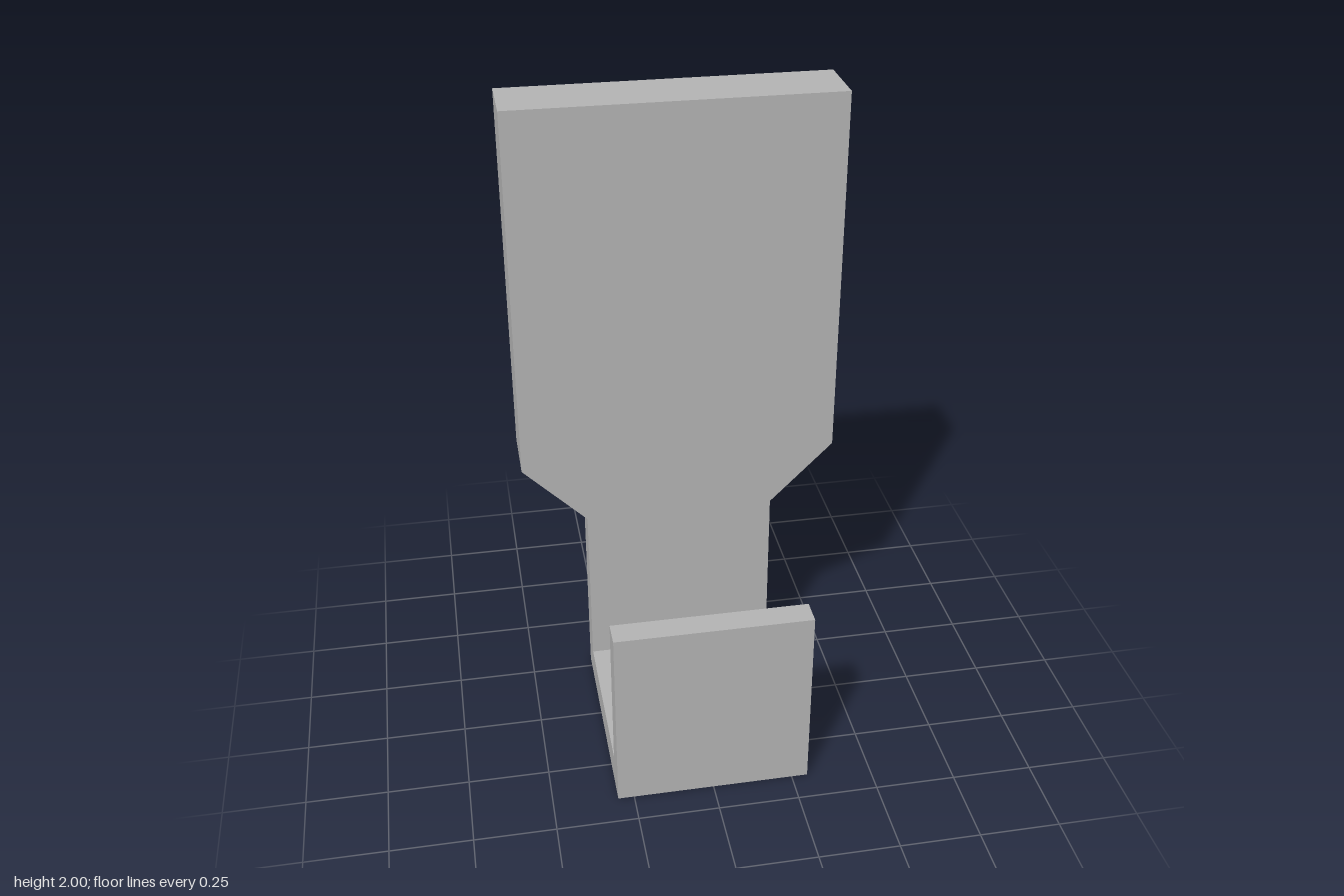
import * as THREE from 'three';

const BACK = -0.405, THICK = 0.205, DEEP = 0.1;

export function createModel() {
  const group = new THREE.Group();
  const grey = new THREE.MeshStandardMaterial({ color: 0xb2b2b2, side: THREE.DoubleSide });

  const add = (name, geometry) => {
    const mesh = new THREE.Mesh(geometry, grey);
    mesh.name = name;
    group.add(mesh);
  };
  const vectors = (points) => points.map(([x, y]) => new THREE.Vector2(x, y));

  // Convex polygons whose corners are [x, y, depth in from the back face]
  const polygons = (list) => {
    const pos = [];
    for (const p of list)
      for (let i = 1; i < p.length - 1; i++)
        for (const [x, y, d] of [p[0], p[i], p[i + 1]]) pos.push(x, y, BACK + d);
    const g = new THREE.BufferGeometry();
    g.setAttribute('position', new THREE.Float32BufferAttribute(pos, 3));
    g.computeVertexNormals();
    return g;
  };
  const mirrored = (list) =>
    [...list, ...list.map((p) => p.map(([x, y, d]) => [-x, y, d]).reverse())];

  // Walls between an outline at one depth and a matching outline further in
  const walls = (a, da, b, db, closed = true) => {
    const quads = [];
    for (let i = 0; i < a.length - (closed ? 0 : 1); i++) {
      const j = (i + 1) % a.length;
      quads.push([[...a[i], da], [...b[i], db], [...b[j], db], [...a[j], da]]);
    }
    return polygons(quads);
  };

  // Flat face turned to the back (all outlines are symmetric in x)
  const backFace = (outline, depth, holes = []) => {
    const s = new THREE.Shape(vectors(outline));
    for (const h of holes) s.holes.push(new THREE.Path(vectors(h)));
    return new THREE.ShapeGeometry(s).rotateY(Math.PI).translate(0, 0, BACK + depth);
  };

  // Side profile of [z, y] points, extruded across x
  const acrossX = (profile, width) =>
    new THREE.ExtrudeGeometry(new THREE.Shape(vectors(profile)), { depth: width, bevelEnabled: false })
      .rotateY(-Math.PI / 2).translate(width / 2, 0, 0);

  // Stepped pocket outline: narrow slot above, wide wings below
  const pocket = (half, top, shoulder, bottom) => [
    [0.162, top], [-0.162, top], [-0.162, shoulder], [-half, shoulder],
    [-half, bottom], [half, bottom], [half, shoulder], [0.162, shoulder],
  ];
  const upperRim = pocket(0.375, 1.778, 1.5, 1.1);
  const upperFloor = pocket(0.275, 1.778, 1.6, 1.2);
  const lowerRim = pocket(0.375, 1.063, 0.785, 0.755);
  const lowerFloor = pocket(0.275, 1.063, 0.885, 0.655);

  // Back of the plate, with the lower pocket notched out of its bottom edge
  const notch = [4, 3, 2, 1, 0, 7, 6, 5].map((i) => lowerRim[i]);
  add('plateBack', backFace([
    [0.5, 2], [-0.5, 2], [-0.5, 0.84], [-0.415, 0.755], ...notch, [0.415, 0.755], [0.5, 0.84],
  ], 0, [upperRim]));

  // Front of the plate
  add('plateFront', new THREE.ShapeGeometry(new THREE.Shape(vectors([
    [0.5, 2], [-0.5, 2], [-0.5, 0.84], [-0.3, 0.64], [0.3, 0.64], [0.5, 0.84],
  ]))).translate(0, 0, BACK + THICK));

  // Top and sides of the plate
  const rim = [[0.5, 0.84], [0.5, 2], [-0.5, 2], [-0.5, 0.84]].reverse();
  add('plateEdges', walls(rim, 0, rim, THICK, false));

  // Tapered shoulders and the bevel along the lower back edge
  add('plateShoulders', polygons(mirrored([[
    [0.5, 0.84, 0], [0.5, 0.84, THICK], [0.3, 0.64, THICK], [0.3, 0.64, 0.115], [0.415, 0.755, 0],
  ].reverse()])));
  add('backBevel', polygons([
    ...mirrored([[[0.415, 0.755, 0], [0.3, 0.64, 0.115], [0.275, 0.655, DEEP], [0.375, 0.755, 0]].reverse()]),
    [[0.3, 0.64, 0.115], [-0.3, 0.64, 0.115], [-0.275, 0.655, DEEP], [0.275, 0.655, DEEP]],
  ]));

  // Upper pocket, with two slits that free a spring tongue
  const slits = [-0.145, 0.145].map((x) => [
    [x + 0.01, 1.765], [x - 0.01, 1.765], [x - 0.01, 1.317], [x + 0.01, 1.317],
  ]);
  add('upperPocketWalls', walls(upperRim, 0, upperFloor, DEEP));
  add('upperPocketFloor', backFace(upperFloor, DEEP, slits));
  for (const s of slits) {
    add('slitWalls', walls(s, DEEP, s, 0.165));
    const g = backFace(s, 0.165);
    g.translate(s[0][0] + s[1][0], 0, 0);
    add('slitFloor', g);
  }
  const z = BACK + DEEP;
  add('tongueCatch', acrossX([
    [z, 1.715], [z, 1.762], [z - 0.025, 1.762], [z - 0.025, 1.745],
  ], 0.26));

  // Lower pocket, open at the bevel
  const open = [5, 6, 7, 0, 1, 2, 3, 4];
  add('lowerPocketWalls', walls(open.map((i) => lowerRim[i]), 0, open.map((i) => lowerFloor[i]), DEEP, false));
  add('lowerPocketFloor', backFace(lowerFloor, DEEP));

  // Neck, shelf and upturned lip of the hook
  add('hook', acrossX([
    [-0.29, 0], [0.405, 0], [0.405, 0.61], [0.325, 0.61],
    [0.325, 0.1], [-0.2, 0.1], [-0.2, 0.64], [-0.29, 0.64],
  ], 0.6));

  return group;
}
